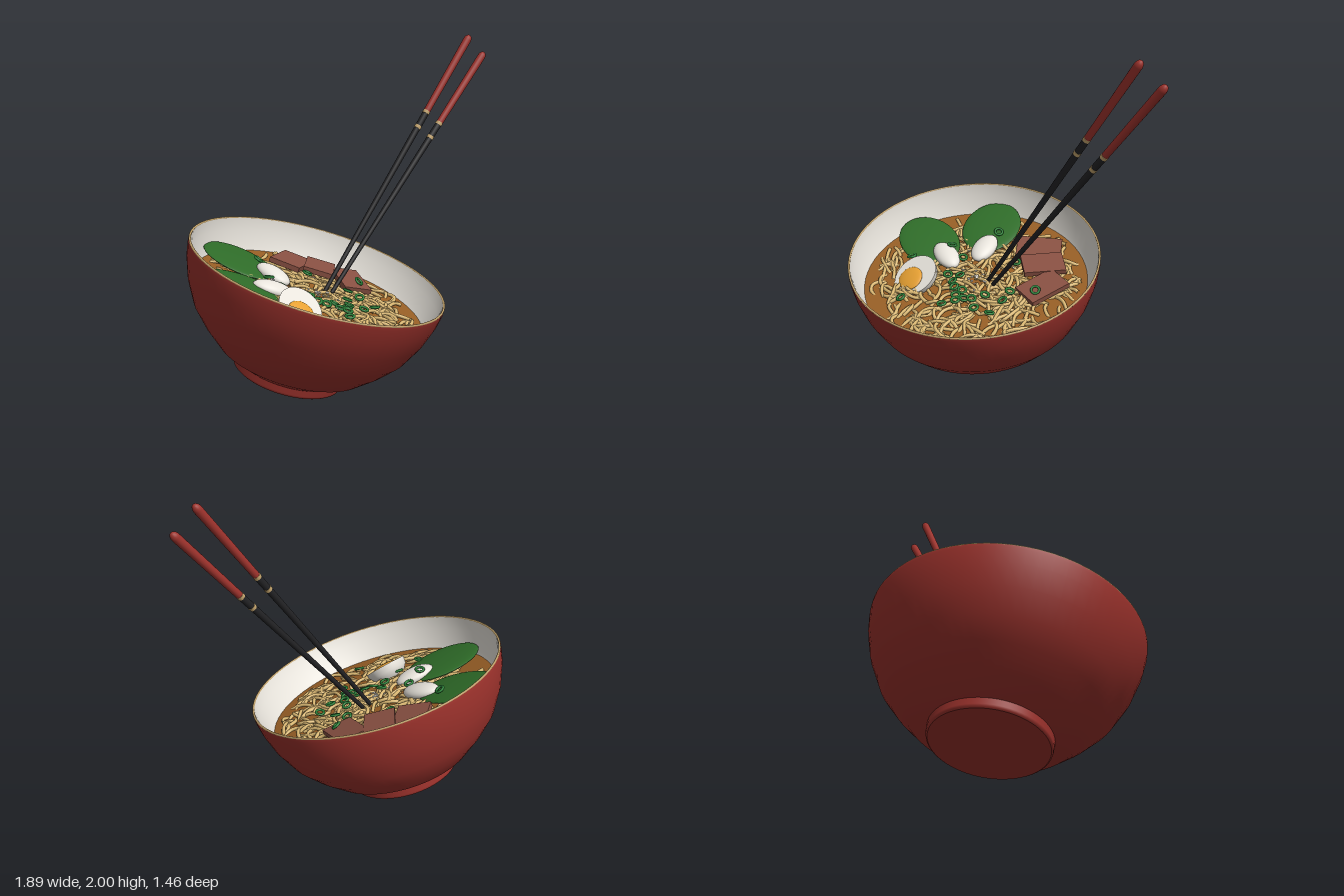
import * as THREE from 'three';
import { mergeGeometries } from 'three/addons/utils/BufferGeometryUtils.js';

const mat = (name, color) => {
  const m = new THREE.MeshStandardMaterial({ color });
  m.name = name;
  return m;
};
const V = (x, y, z) => new THREE.Vector3(x, y, z);
const UP = V(0, 1, 0);

function seeded(seed) {
  let s = seed;
  return () => (s = (s * 16807) % 2147483647) / 2147483647;
}

export function createModel() {
  const red = mat('lacquer red', 0x9c322c);
  const cream = mat('cream white', 0xe8e4dc);
  const tan = mat('tan gold', 0xbfa06a);
  const broth = mat('broth brown', 0x965e25);
  const noodle = mat('noodle yellow', 0xdfbc76);
  const leafGreen = mat('leaf green', 0x2e6b28);
  const onionGreen = mat('onion green', 0x2a8038);
  const black = mat('black', 0x222224);
  const pork = mat('pork brown', 0x885042);
  const yolkOrange = mat('yolk orange', 0xe6a032);

  const model = new THREE.Group();
  const add = (parent, name, geo, material) => {
    const m = new THREE.Mesh(geo, material);
    m.name = name;
    parent.add(m);
    return m;
  };
  const lathe = (pts) => new THREE.LatheGeometry(pts.map(([r, y]) => new THREE.Vector2(r, y)), 64);
  const rnd = seeded(4711);

  // Tilted bowl, local y = 0 at the rim
  const axis = V(0.25, 0.954, 0.165).normalize();
  const bowl = new THREE.Group();
  bowl.name = 'bowl';
  bowl.position.set(-0.224, 0.719, 0.003);
  bowl.quaternion.setFromUnitVectors(UP, axis);
  model.add(bowl);
  add(bowl, 'bowlOutside', lathe([[0.31, -0.61], [0.44, -0.54], [0.545, -0.44], [0.625, -0.345],
    [0.69, -0.215], [0.725, -0.1], [0.738, -0.02], [0.738, -0.002]]), red);
  add(bowl, 'footRing', lathe([[0.308, -0.658], [0.316, -0.652], [0.319, -0.64], [0.319, -0.61], [0.322, -0.595], [0.345, -0.578]]), red);
  const base = add(bowl, 'footBase', new THREE.CircleGeometry(0.309, 48), red);
  base.rotation.x = Math.PI / 2;
  base.position.y = -0.657;
  add(bowl, 'bowlInside', lathe([[0.726, 0], [0.712, -0.07], [0.674, -0.16], [0.61, -0.29], [0.3, -0.5], [0, -0.53]]), cream);
  const rim = add(bowl, 'rimTrim', new THREE.TorusGeometry(0.732, 0.0065, 8, 72), tan);
  rim.rotation.x = Math.PI / 2;

  // Soup surface carries all the toppings
  const depth = -0.183;
  const soup = new THREE.Group();
  soup.name = 'soup';
  soup.position.y = depth;
  bowl.add(soup);
  const surface = add(soup, 'broth', new THREE.CircleGeometry(0.663, 64), broth);
  surface.rotation.x = -Math.PI / 2;

  // Point on the soup surface under a level (x, z), lifted by h
  const centre = bowl.position.clone().addScaledVector(axis, depth);
  const inverse = bowl.quaternion.clone().invert();
  const at = (x, z, h = 0) => {
    const dx = x - centre.x, dz = z - centre.z;
    const p = V(dx, -(axis.x * dx + axis.z * dz) / axis.y, dz).applyQuaternion(inverse);
    p.y += h;
    return p;
  };
  const lay = (mesh, x, z, h, angle, tilt = 0) => {
    mesh.position.copy(at(x, z, h));
    mesh.rotation.set(0, -angle, tilt, 'YXZ');
  };

  // Noodles: short curling tubes, ends dipping in, higher toward the middle
  const strands = [];
  for (let i = 0; i < 430; i++) {
    const a = rnd() * Math.PI * 2, r = 0.61 * Math.pow(rnd(), 0.6);
    let x = 0.03 + r * Math.cos(a), z = 0.01 + r * Math.sin(a);
    let dir = rnd() * Math.PI * 2;
    const bend = (rnd() - 0.5) * 1.5, step = 0.024 + rnd() * 0.022;
    const lift = 0.003 + 0.032 * rnd() * (1 - r / 0.7);
    const pts = [];
    for (let k = 0; k < 5; k++) {
      if (Math.hypot(x, z) < 0.625) pts.push(V(x, lift - 0.012 + 0.018 * Math.sin(k * Math.PI / 4), z));
      x += Math.cos(dir) * step;
      z += Math.sin(dir) * step;
      dir += bend * (0.5 + rnd() * 0.5);
    }
    if (pts.length > 2) strands.push(new THREE.TubeGeometry(new THREE.CatmullRomCurve3(pts), 10, 0.011, 6));
  }
  add(soup, 'noodles', mergeGeometries(strands), noodle);

  // Two leafy greens with pale stems
  const ball = new THREE.SphereGeometry(1, 32, 20);
  for (const [lx, lz, la, sx, sz, sa] of [
    [-0.63, -0.295, -2.4, -0.46, -0.17, -2.25],
    [-0.69, 0.1, 3.12, -0.505, 0.06, 3.1],
  ]) {
    const leaf = add(soup, 'leaf', ball, leafGreen);
    leaf.scale.set(0.236, 0.022, 0.178);
    lay(leaf, lx, lz, 0.038, la, 0.08);
    const stem = add(soup, 'leafStem', ball, cream);
    stem.scale.set(0.118, 0.042, 0.07);
    lay(stem, sx, sz, 0.04, sa, 0.08);
  }

  // Pork slices
  for (const [x, z, len, w, a, h, tilt] of [
    [-0.295, -0.46, 0.27, 0.19, 2.12, 0.04, 0.06],
    [-0.14, -0.41, 0.25, 0.175, 1.88, 0.052, 0.05],
    [0.03, -0.32, 0.26, 0.175, 1.41, 0.042, -0.06],
  ]) {
    lay(add(soup, 'porkSlice', new THREE.BoxGeometry(len, 0.03, w), pork), x, z, h, a, tilt);
  }

  // Spring onion rings
  const ringGeo = new THREE.TorusGeometry(0.023, 0.0075, 8, 18);
  for (const [x, z, h = 0.042] of [
    [-0.53, -0.3, 0.068], [-0.24, -0.28, 0.05], [0.06, -0.26, 0.07], [-0.03, -0.14], [0.02, -0.07],
    [0.08, 0.04], [0, 0.1], [-0.08, 0.08], [-0.22, 0.13], [-0.15, 0.15], [-0.11, 0.17], [-0.34, 0.12],
    [-0.3, 0.06], [-0.12, 0.25], [-0.6, 0.25], [-0.28, 0.44], [-0.53, 0.01, 0.085], [-0.44, -0.02],
    [-0.07, 0], [-0.17, 0.1], [-0.27, 0.12], [-0.45, 0.2], [-0.1, 0.12],
  ]) {
    const ring = add(soup, 'onionRing', ringGeo, onionGreen);
    ring.position.copy(at(x, z, h));
    ring.rotation.set(Math.PI / 2 + (rnd() - 0.5) * 0.8, (rnd() - 0.5) * 0.8, 0);
  }

  // Sesame seeds
  const seedGeo = new THREE.SphereGeometry(1, 8, 6);
  for (let i = 0; i < 26; i++) {
    const a = rnd() * 6.28, r = 0.28 * rnd() * rnd();
    const seed = add(soup, 'sesameSeed', seedGeo, cream);
    seed.scale.set(0.01, 0.004, 0.006);
    lay(seed, -0.24 + r * Math.cos(a), -0.02 + r * Math.sin(a), 0.042, rnd() * 6);
  }

  // Half egg leaning toward the front
  const egg = new THREE.Group();
  egg.name = 'egg';
  egg.position.set(-0.393, 0.578, 0.31);
  egg.quaternion.setFromUnitVectors(UP, V(0.33, 0.74, 0.58).normalize());
  model.add(egg);
  const white = add(egg, 'eggWhite', lathe([[0, -0.105], [0.05, -0.097], [0.09, -0.075], [0.118, -0.04], [0.126, 0]]), cream);
  white.scale.z = 1.1;
  const face = add(egg, 'eggFace', new THREE.CircleGeometry(0.126, 48), cream);
  face.rotation.x = -Math.PI / 2;
  face.scale.y = 1.1;
  const yolk = add(egg, 'yolk', ball, yolkOrange);
  yolk.scale.set(0.077, 0.016, 0.077);
  yolk.position.set(0, 0.001, 0.035);

  // Chopsticks: tapered sections placed by fraction of length
  for (const [tip, end] of [
    [V(-0.175, 0.56, -0.066), V(0.805, 1.979, -0.425)],
    [V(-0.13, 0.55, -0.076), V(0.925, 1.877, -0.492)],
  ]) {
    const stick = new THREE.Group();
    stick.name = 'chopstick';
    const dir = end.clone().sub(tip), length = dir.length();
    stick.position.copy(tip);
    stick.quaternion.setFromUnitVectors(UP, dir.normalize());
    model.add(stick);
    const radius = (t) => 0.0115 + 0.0125 * t;
    const section = (name, a, b, material, extra = 0) => {
      const geo = new THREE.CylinderGeometry(radius(b) + extra, radius(a) + extra, (b - a) * length, 16);
      add(stick, name, geo, material).position.y = (a + b) / 2 * length;
    };
    section('stickShaft', 0, 0.7, black);
    section('lowerBand', 0.63, 0.641, tan, 0.0015);
    section('upperBand', 0.689, 0.7, tan, 0.0015);
    section('stickHandle', 0.7, 0.99, red);
    const cap = add(stick, 'handleCap', new THREE.SphereGeometry(radius(0.99), 16, 10), red);
    cap.position.y = 0.99 * length;
    cap.scale.y = 1.5;
  }
  return model;
}
